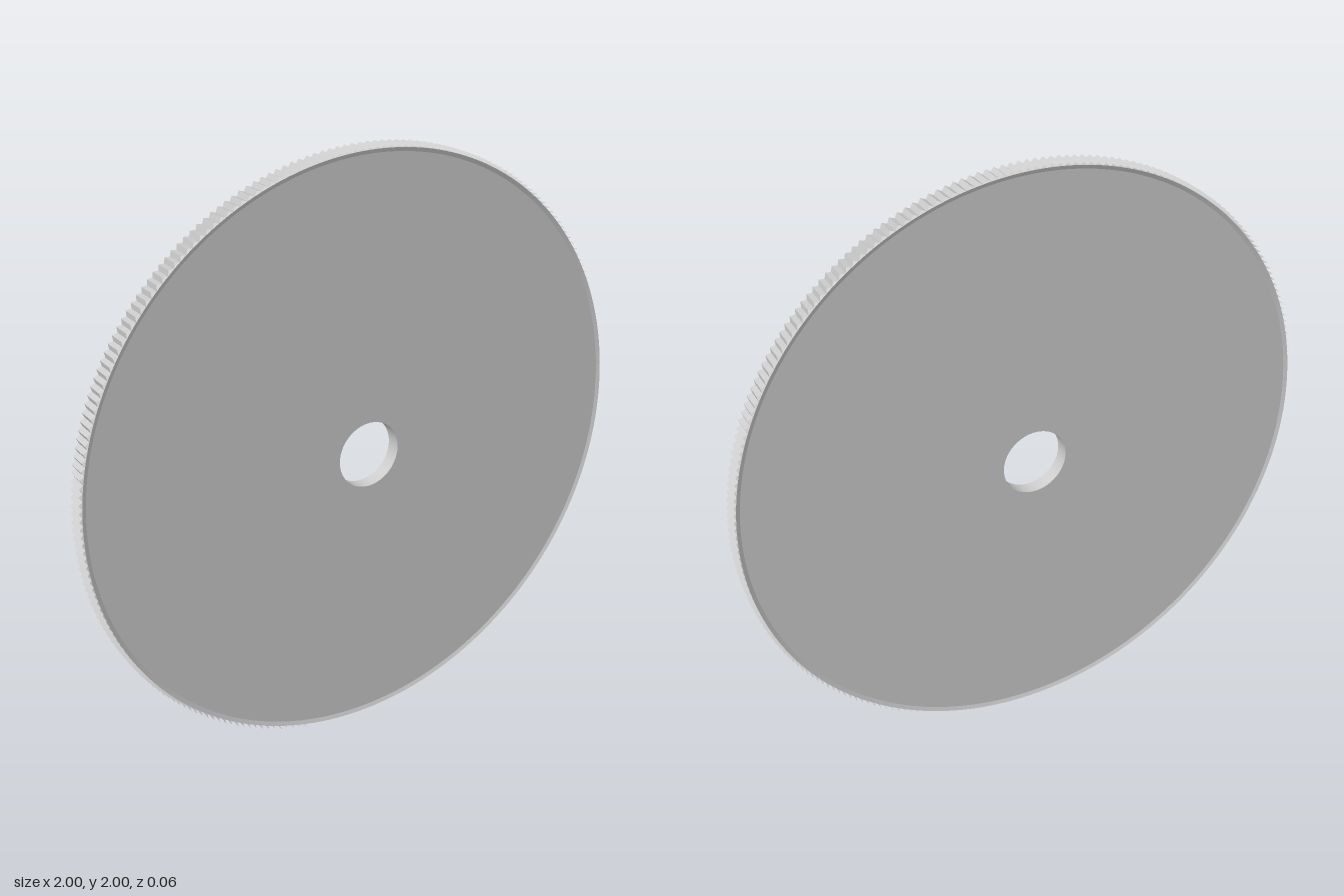
import * as THREE from 'three';

const TEETH = 240;
const HALF = 0.031;      // half thickness of the wheel
const ROOT = 0.988;      // radius at the bottom of the teeth
const TIP = 1.0;         // radius at the tooth tips
const BORE = 0.112;      // radius of the centre hole
const FACE = 0.975;      // radius of the flat face
const FACE_Z = 0.025;    // face sits slightly below the rim lip

export function createModel() {
  const group = new THREE.Group();
  const material = new THREE.MeshStandardMaterial({ color: 0xcccccc, flatShading: true });

  // Disc with a centre bore and a fine lip around each face
  const profile = [
    [BORE, -FACE_Z], [FACE, -FACE_Z], [ROOT, -HALF],
    [ROOT, HALF], [FACE, FACE_Z], [BORE, FACE_Z], [BORE, -FACE_Z],
  ].map(([r, y]) => new THREE.Vector2(r, y));
  const disc = new THREE.Mesh(new THREE.LatheGeometry(profile, TEETH), material);
  disc.name = 'disc';

  // Serrated edge: an open band whose alternate columns drop to the root radius
  const band = new THREE.CylinderGeometry(TIP, TIP, 2 * HALF, TEETH * 2, 1, true);
  const pos = band.attributes.position;
  const columns = TEETH * 2 + 1;
  for (let i = 0; i < pos.count; i++) {
    if ((i % columns) % 2 === 1) {
      pos.setX(i, pos.getX(i) * ROOT / TIP);
      pos.setZ(i, pos.getZ(i) * ROOT / TIP);
    }
  }
  band.computeVertexNormals();
  const teeth = new THREE.Mesh(band, material);
  teeth.name = 'edgeTeeth';

  // Stand the wheel upright, facing the front
  const wheel = new THREE.Group();
  wheel.name = 'wheel';
  wheel.add(disc, teeth);
  wheel.rotation.x = Math.PI / 2;
  wheel.position.y = TIP;
  group.add(wheel);
  return group;
}
